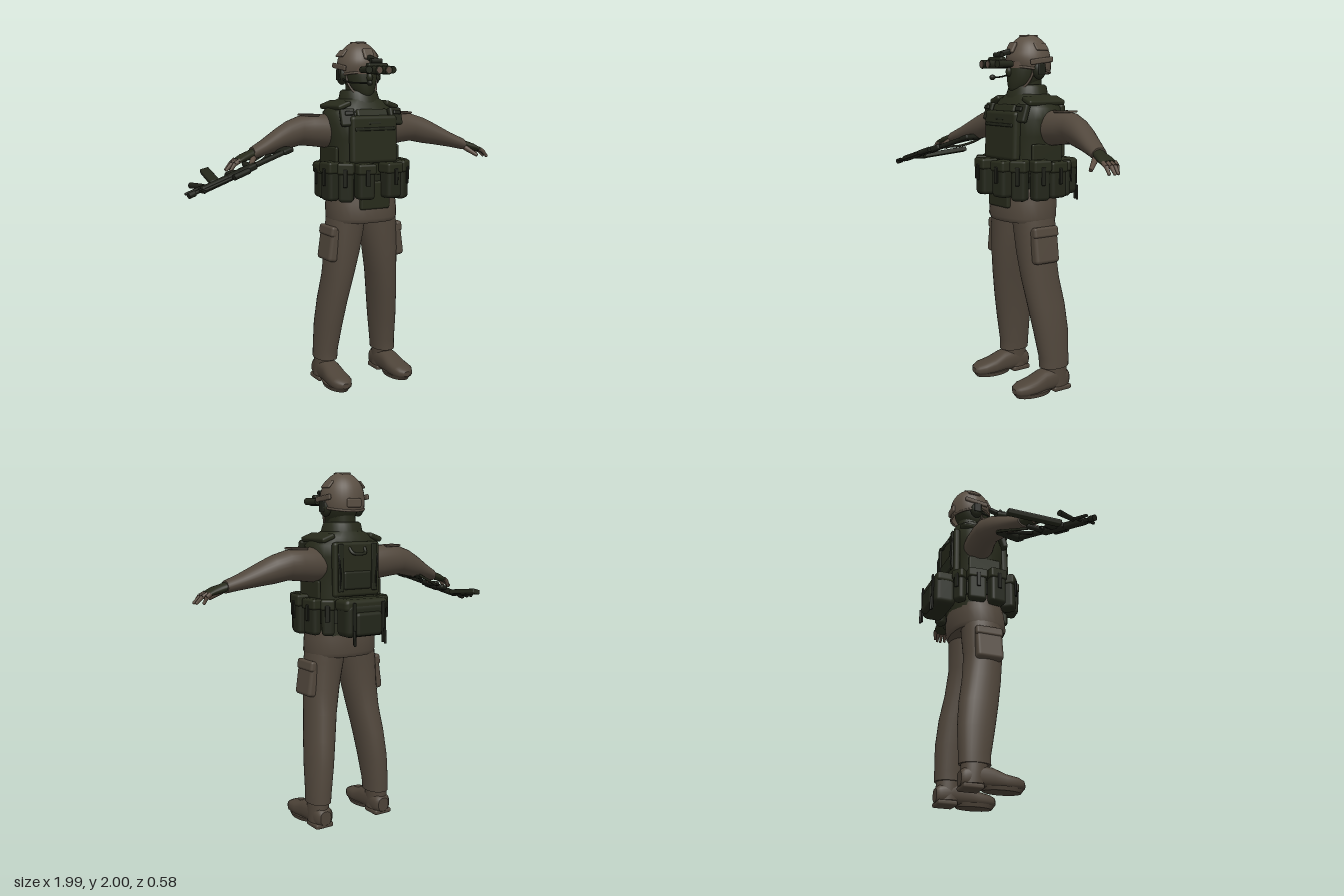
import * as THREE from 'three';
import { RoundedBoxGeometry } from 'three/addons/geometries/RoundedBoxGeometry.js';

const V = (a) => new THREE.Vector3(...a);
const flat = (name, color, side = THREE.FrontSide) => {
  const m = new THREE.MeshStandardMaterial({ color, side });
  m.name = name;
  return m;
};

// Skin through oval rings. Each row is [t, a, b, ra, rb] with t ascending along the axis;
// a, b are x,z for axis y; y,z for axis x; x,y for axis z. pow < 1 squares the ovals.
function loft(axis, rows, pow = 1, seg = 28) {
  const pos = [], idx = [];
  const place = { x: (t, a, b) => [t, a, b], y: (t, a, b) => [a, t, b], z: (t, a, b) => [a, b, t] }[axis];
  const first = rows[0], last = rows[rows.length - 1];
  const cap = (r) => [r[0], r[1], r[2], 0, 0];
  const rings = [cap(first), first, ...rows, last, cap(last)];
  const sp = (v) => Math.sign(v) * Math.abs(v) ** pow;
  rings.forEach(([t, a, b, ra, rb], i) => {
    for (let j = 0; j < seg; j++) {
      const w = (j / seg) * Math.PI * 2;
      pos.push(...place(t, a + ra * sp(Math.cos(w)), b + rb * sp(Math.sin(w))));
    }
    if (i === 0 || i === 2 || i === rings.length - 2) return;
    for (let j = 0; j < seg; j++) {
      const k = (j + 1) % seg, p = (i - 1) * seg, q = i * seg;
      if (axis === 'y') idx.push(p + j, q + k, p + k, p + j, q + j, q + k);
      else idx.push(p + j, p + k, q + k, p + j, q + k, q + j);
    }
  });
  const g = new THREE.BufferGeometry();
  g.setAttribute('position', new THREE.Float32BufferAttribute(pos, 3));
  g.setIndex(idx);
  g.computeVertexNormals();
  return g;
}

const box = (w, h, d, r = 0.012) => new RoundedBoxGeometry(w, h, d, 2, Math.min(r, w / 2.1, h / 2.1, d / 2.1));
const tube = (pts, r) => new THREE.TubeGeometry(new THREE.CatmullRomCurve3(pts.map(V)), 16, r, 6);
const ball = (rx, ry, rz) => new THREE.SphereGeometry(1, 20, 14).scale(rx, ry, rz);

// Round rod from p to q
function rod(p, q, r1, r2 = r1) {
  const a = V(p), b = V(q), d = b.clone().sub(a);
  const g = new THREE.CylinderGeometry(r2, r1, d.length(), 12);
  g.applyQuaternion(new THREE.Quaternion().setFromUnitVectors(V([0, 1, 0]), d.normalize()));
  return g.translate(...a.add(b).multiplyScalar(0.5).toArray());
}

function mirrored(geo) {
  const g = geo.clone().scale(-1, 1, 1);
  if (!g.index) g.setIndex([...Array(g.attributes.position.count).keys()]);
  const ix = g.index.array;
  for (let i = 0; i < ix.length; i += 3) [ix[i], ix[i + 1]] = [ix[i + 1], ix[i]];
  return g;
}

export function createModel() {
  const cloth = flat('cloth', 0x51473c);
  const shell = flat('helmet shell', 0x5a4f43, THREE.DoubleSide);
  const boot = flat('boot leather', 0x4d4338);
  const skin = flat('skin', 0x5a4b3f);
  const green = flat('vest green', 0x272a1b);
  const gear = flat('pouch green', 0x23261a);
  const metal = flat('gun metal', 0x1e2018);
  const glass = flat('lens', 0x5b4c42);

  const model = new THREE.Group();
  const body = new THREE.Group();
  body.name = 'soldier';
  body.position.x = 0.13;
  const rifle = new THREE.Group();
  rifle.name = 'rifle';
  rifle.position.set(-0.62, 1.325, 0.157);
  rifle.rotation.set(0, 0.235, 0.29);
  model.add(body, rifle);

  const add = (name, geo, mat, at = [0, 0, 0], rot = [0, 0, 0], parent = body) => {
    geo.applyMatrix4(new THREE.Matrix4().makeRotationFromEuler(new THREE.Euler(...rot)).setPosition(...at));
    const m = new THREE.Mesh(geo, mat);
    m.name = name;
    parent.add(m);
    return geo;
  };
  const pair = (name, geo, mat, at, rot) => {
    const g = add(name + 'Left', geo, mat, at, rot);
    add(name + 'Right', mirrored(g), mat);
  };

  // Trousers, thigh pockets and boots
  pair('trouserLeg', loft('y', [[0.14, 0.2, -0.05, 0.066, 0.09], [0.2, 0.197, -0.05, 0.068, 0.091],
    [0.35, 0.185, -0.037, 0.075, 0.107], [0.5, 0.168, -0.016, 0.08, 0.114], [0.65, 0.146, 0.01, 0.086, 0.113],
    [0.8, 0.127, 0.026, 0.1, 0.113], [0.95, 0.108, 0.026, 0.11, 0.12], [1.04, 0.1, 0.028, 0.105, 0.125]], 0.92), cloth);
  pair('thighPocket', box(0.06, 0.2, 0.16, 0.02), cloth, [0.212, 0.85, 0.03], [0, 0, 0.14]);
  pair('pocketFlap', box(0.04, 0.06, 0.165, 0.015), cloth, [0.217, 0.925, 0.03], [0, 0, 0.16]);
  pair('bootShaft', loft('y', [[0.03, 0.203, -0.06, 0.06, 0.078], [0.1, 0.203, -0.055, 0.06, 0.076], [0.17, 0.2, -0.05, 0.056, 0.075]]), boot);
  pair('bootFoot', loft('z', [[-0.138, 0.2, 0.06, 0.035, 0.04], [-0.12, 0.2, 0.063, 0.055, 0.055], [-0.04, 0.202, 0.075, 0.06, 0.066],
    [0.04, 0.204, 0.07, 0.06, 0.06], [0.11, 0.206, 0.055, 0.066, 0.046], [0.18, 0.208, 0.05, 0.064, 0.038],
    [0.215, 0.208, 0.047, 0.046, 0.028], [0.23, 0.208, 0.045, 0.02, 0.015]], 0.8), boot);
  pair('bootHeel', box(0.115, 0.03, 0.12), boot, [0.203, 0.015, -0.075]);
  pair('bootSole', loft('y', [[0.003, 0.207, 0.1, 0.06, 0.11], [0.026, 0.207, 0.1, 0.066, 0.128]]), boot);

  // Shirt skirt, sleeves
  add('shirtSkirt', loft('y', [[0.975, 0, 0.03, 0.205, 0.155], [1.0, 0, 0.03, 0.214, 0.168],
    [1.08, 0, 0.025, 0.212, 0.165], [1.2, 0, 0.015, 0.195, 0.145]], 0.9), cloth);
  pair('sleeve', loft('x', [[0.12, 1.49, -0.02, 0.085, 0.085], [0.22, 1.495, -0.025, 0.096, 0.086], [0.3, 1.5, -0.033, 0.09, 0.079],
    [0.37, 1.499, -0.033, 0.082, 0.076], [0.45, 1.478, -0.018, 0.077, 0.073], [0.52, 1.455, 0, 0.064, 0.068],
    [0.62, 1.418, 0.032, 0.044, 0.058], [0.695, 1.392, 0.058, 0.034, 0.048]]), cloth);
  pair('sleevePatch', box(0.1, 0.012, 0.09), cloth, [0.31, 1.586, -0.03], [0, 0, 0.03]);

  // Gloved hands with bare fingers
  pair('glove', loft('x', [[0.68, 1.397, 0.055, 0.026, 0.042], [0.72, 1.383, 0.066, 0.025, 0.04],
    [0.76, 1.372, 0.075, 0.022, 0.049], [0.795, 1.358, 0.08, 0.015, 0.048]]), green);
  [[0.038, 0.82], [0.064, 0.85], [0.089, 0.855], [0.113, 0.84]].forEach(([z, x], i) => {
    const mid = [(x + 0.79) / 2, 1.347, z + 0.003], tip = [x, 1.316, z + 0.008];
    pair('finger' + i, rod([0.785, 1.362, z], mid, 0.013, 0.012), skin);
    pair('fingerEnd' + i, rod(mid, tip, 0.012, 0.008), skin);
    pair('fingerTip' + i, ball(0.009, 0.009, 0.009), skin, tip);
  });
  pair('thumb', rod([0.7, 1.37, 0.09], [0.745, 1.325, 0.155], 0.017, 0.01), skin);

  // Armour vest with collar, plates and shoulder straps
  add('vest', loft('y', [[1.1, 0, 0.015, 0.2, 0.152], [1.33, 0, 0.015, 0.198, 0.15], [1.45, 0, 0.015, 0.214, 0.162],
    [1.54, 0, 0.01, 0.222, 0.165], [1.6, 0, 0.0, 0.215, 0.152], [1.645, 0, -0.005, 0.175, 0.13],
    [1.675, 0, -0.005, 0.115, 0.11]], 0.86), green);
  add('collar', loft('y', [[1.61, 0, 0, 0.13, 0.125], [1.66, 0, 0, 0.122, 0.118], [1.715, 0, -0.005, 0.108, 0.104], [1.725, 0, -0.005, 0.095, 0.092]]), green);
  add('chestPlate', box(0.3, 0.27, 0.05, 0.022), green, [0, 1.45, 0.165], [-0.03, 0, 0]);
  add('chestPanel', box(0.2, 0.07, 0.03), green, [0, 1.585, 0.15], [-0.35, 0, 0]);
  add('chestStrip', box(0.26, 0.018, 0.012), gear, [0, 1.51, 0.191]);
  add('chestTab', box(0.08, 0.03, 0.01), gear, [0, 1.55, 0.182], [-0.15, 0, 0]);
  add('backPlate', box(0.3, 0.3, 0.04, 0.018), green, [0, 1.47, -0.142]);
  add('backPanel', box(0.18, 0.1, 0.03), gear, [0, 1.41, -0.158]);
  add('backHandle', tube([[-0.05, 1.59, -0.155], [-0.04, 1.56, -0.18], [0.04, 1.56, -0.18], [0.05, 1.59, -0.155]], 0.009), gear);
  pair('shoulderStrap', box(0.085, 0.03, 0.24), green, [0.155, 1.64, 0], [0, 0, -0.35]);
  pair('shoulderPouch', box(0.085, 0.1, 0.035), gear, [0.155, 1.575, 0.145], [-0.3, 0.15, 0]);
  pair('strapBuckle', box(0.05, 0.025, 0.015), metal, [0.155, 1.6, 0.165], [-0.3, 0.15, 0]);
  pair('backStrap', box(0.035, 0.26, 0.012), gear, [0.11, 1.48, -0.166]);
  pair('sideBand', box(0.02, 0.1, 0.2), green, [0.2, 1.36, 0.01]);
  pair('backCord', tube([[0.12, 1.6, -0.15], [0.125, 1.52, -0.175], [0.115, 1.43, -0.175], [0.12, 1.35, -0.165]], 0.005), metal);

  // Belt, ring of pouches and groin flap
  add('belt', loft('y', [[1.17, 0, 0.012, 0.212, 0.165], [1.25, 0, 0.012, 0.212, 0.165]], 0.86), gear);
  add('groinFlap', box(0.19, 0.16, 0.03), green, [0, 1.135, 0.185]);
  const pouch = (name, w, h, d, at, yaw) => {
    pair(name, box(w, h, d, 0.022), gear, at, [0, yaw, 0]);
    const lid = box(w + 0.01, h * 0.3, d + 0.012, 0.014);
    lid.translate(0, h * 0.36, 0);
    pair(name + 'Lid', lid, green, at, [0, yaw, 0]);
    const tab = box(0.025, h * 0.45, 0.01);
    tab.translate(0, h * 0.12, d / 2 + 0.007);
    pair(name + 'Tab', tab, metal, at, [0, yaw, 0]);
  };
  pouch('frontPouch', 0.1, 0.2, 0.09, [0.085, 1.22, 0.218], 0.12);
  pouch('cornerPouch', 0.085, 0.22, 0.085, [0.175, 1.215, 0.17], 0.65);
  pouch('hipPouch', 0.1, 0.22, 0.07, [0.228, 1.215, 0.075], 1.45);
  pouch('sidePouch', 0.11, 0.2, 0.055, [0.222, 1.21, -0.045], 1.65);
  pouch('rearSidePouch', 0.07, 0.2, 0.06, [0.175, 1.21, -0.135], 2.5);
  add('rearPack', box(0.27, 0.19, 0.13, 0.035), gear, [0, 1.2, -0.205]);
  add('rearPackLid', box(0.28, 0.07, 0.13, 0.025), green, [0, 1.28, -0.2]);
  add('rearPackFront', box(0.17, 0.13, 0.05, 0.02), gear, [0, 1.18, -0.265]);
  pair('rearPackStrap', box(0.022, 0.23, 0.01), metal, [0.095, 1.185, -0.277]);
  pair('hangingStrap', rod([0.1, 1.15, -0.285], [0.1, 1.065, -0.288], 0.007), metal);

  // Head, mask and eye band
  add('neck', loft('y', [[1.6, 0, -0.005, 0.075, 0.08], [1.76, 0, 0, 0.075, 0.085]]), green);
  add('maskedHead', loft('y', [[1.69, 0, 0.06, 0.035, 0.045], [1.71, 0, 0.045, 0.06, 0.072], [1.75, 0, 0.02, 0.082, 0.1],
    [1.8, 0, 0.01, 0.095, 0.112], [1.86, 0, 0, 0.1, 0.112], [1.92, 0, 0, 0.085, 0.095]]), green);
  add('nose', ball(0.018, 0.026, 0.02), green, [0, 1.795, 0.12]);
  add('eyeBand', loft('y', [[1.815, 0, 0.012, 0.093, 0.114], [1.85, 0, 0.012, 0.094, 0.114]]), skin);
  pair('chinStrap', tube([[0.1, 1.83, 0.02], [0.092, 1.76, 0.04], [0.06, 1.705, 0.075], [0, 1.69, 0.1]], 0.007), cloth);

  // Helmet with rails, pads, ear cups and cover strips
  const dome = new THREE.SphereGeometry(1, 32, 20, 0, Math.PI * 2, 0, Math.PI * 0.6).scale(0.125, 0.15, 0.125);
  const p = dome.attributes.position;
  for (let i = 0; i < p.count; i++) // brim rises at the front and drops at the back
    if (p.getY(i) < 0.06) p.setY(i, p.getY(i) + (p.getZ(i) > 0 ? 0.16 : 0.1) * p.getZ(i) * (0.06 - p.getY(i)) / 0.06);
  dome.computeVertexNormals();
  add('helmet', dome, shell, [0, 1.847, -0.01]);
  add('helmetRim', new THREE.TorusGeometry(0.12, 0.007, 8, 32).rotateX(Math.PI / 2), shell, [0, 1.806, -0.01], [-0.16, 0, 0]);
  add('crownStrip', box(0.06, 0.012, 0.09), shell, [0, 1.989, -0.01]);
  pair('helmetPatch', box(0.012, 0.05, 0.08), shell, [0.103, 1.93, -0.02], [0, 0, 0.72]);
  pair('helmetRail', box(0.016, 0.03, 0.15), shell, [0.124, 1.855, -0.01], [0.12, 0, 0]);
  add('rearDial', box(0.09, 0.05, 0.02), shell, [0, 1.83, -0.13]);
  pair('earCup', ball(0.03, 0.052, 0.04), gear, [0.108, 1.805, -0.005]);
  pair('earCupPlate', box(0.012, 0.06, 0.045), metal, [0.132, 1.81, -0.005]);
  add('micBoom', tube([[-0.12, 1.79, 0.01], [-0.115, 1.77, 0.08], [-0.08, 1.765, 0.15], [-0.05, 1.765, 0.19]], 0.005), metal);
  add('microphone', ball(0.015, 0.015, 0.018), metal, [-0.045, 1.765, 0.2]);

  // Night vision mount and tubes
  add('mountPlate', box(0.065, 0.065, 0.02), shell, [0, 1.925, 0.105], [-0.5, 0, 0]);
  add('mountArm', box(0.035, 0.03, 0.09), metal, [0, 1.895, 0.155], [0.25, 0, 0]);
  add('mountKnob', rod([-0.035, 1.885, 0.19], [0.035, 1.885, 0.19], 0.014), metal);
  add('tubeBridge', box(0.13, 0.025, 0.04), gear, [0, 1.862, 0.2]);
  pair('innerTube', rod([0.03, 1.835, 0.15], [0.03, 1.835, 0.278], 0.021, 0.024), gear);
  pair('outerTube', rod([0.066, 1.837, 0.15], [0.078, 1.837, 0.25], 0.018, 0.02), gear);
  pair('tubeLens', rod([0.03, 1.835, 0.277], [0.03, 1.835, 0.28], 0.017), glass);

  // Rifle lying flat: -x is the muzzle, -z the underside
  const gun = (name, geo, at, rot, mat = metal) => add(name, geo, mat, at, rot, rifle);
  gun('receiver', box(0.2, 0.034, 0.05), [-0.06, 0, 0]);
  gun('handguard', box(0.17, 0.036, 0.04), [-0.23, 0, 0.005]);
  gun('barrel', rod([-0.3, 0, 0], [-0.38, 0, 0], 0.01));
  gun('muzzleBrake', rod([-0.355, 0, 0], [-0.392, 0, 0], 0.016));
  gun('gasTube', rod([-0.14, 0, 0.03], [-0.33, 0, 0.025], 0.008));
  gun('frontSight', box(0.015, 0.014, 0.05, 0.004), [-0.325, 0, 0.03]);
  gun('optic', rod([-0.13, 0, 0.035], [-0.03, 0, 0.035], 0.016));
  gun('sideRail', box(0.13, 0.014, 0.018), [-0.32, 0, -0.045]);
  gun('railPost', box(0.02, 0.014, 0.05), [-0.3, 0, -0.02]);
  gun('foreGrip', rod([-0.27, 0, -0.04], [-0.285, 0, -0.145], 0.012, 0.016));
  gun('magazineWell', box(0.06, 0.028, 0.06), [-0.09, 0, -0.04]);
  gun('magazine', box(0.052, 0.03, 0.29, 0.008), [-0.134, -0.012, -0.19], [0, -0.4, 0], gear);
  gun('pistolGrip', box(0.035, 0.026, 0.1), [0.03, 0, -0.06], [0, -0.3, 0]);
  gun('triggerGuard', new THREE.TorusGeometry(0.022, 0.004, 6, 16).rotateX(Math.PI / 2), [-0.02, 0, -0.04]);
  gun('stockTube', box(0.22, 0.026, 0.035), [0.14, 0, -0.005]);
  gun('stockBrace', rod([0.1, 0, -0.02], [0.25, 0, -0.11], 0.01));
  gun('buttStock', box(0.07, 0.03, 0.16), [0.265, 0, -0.06]);
  gun('sling', tube([[0.28, 0, -0.14], [0.2, -0.012, -0.15], [0.08, -0.015, -0.12], [0.02, 0, -0.07]], 0.008), [0, 0, 0], [0, 0, 0], gear);
  return model;
}
